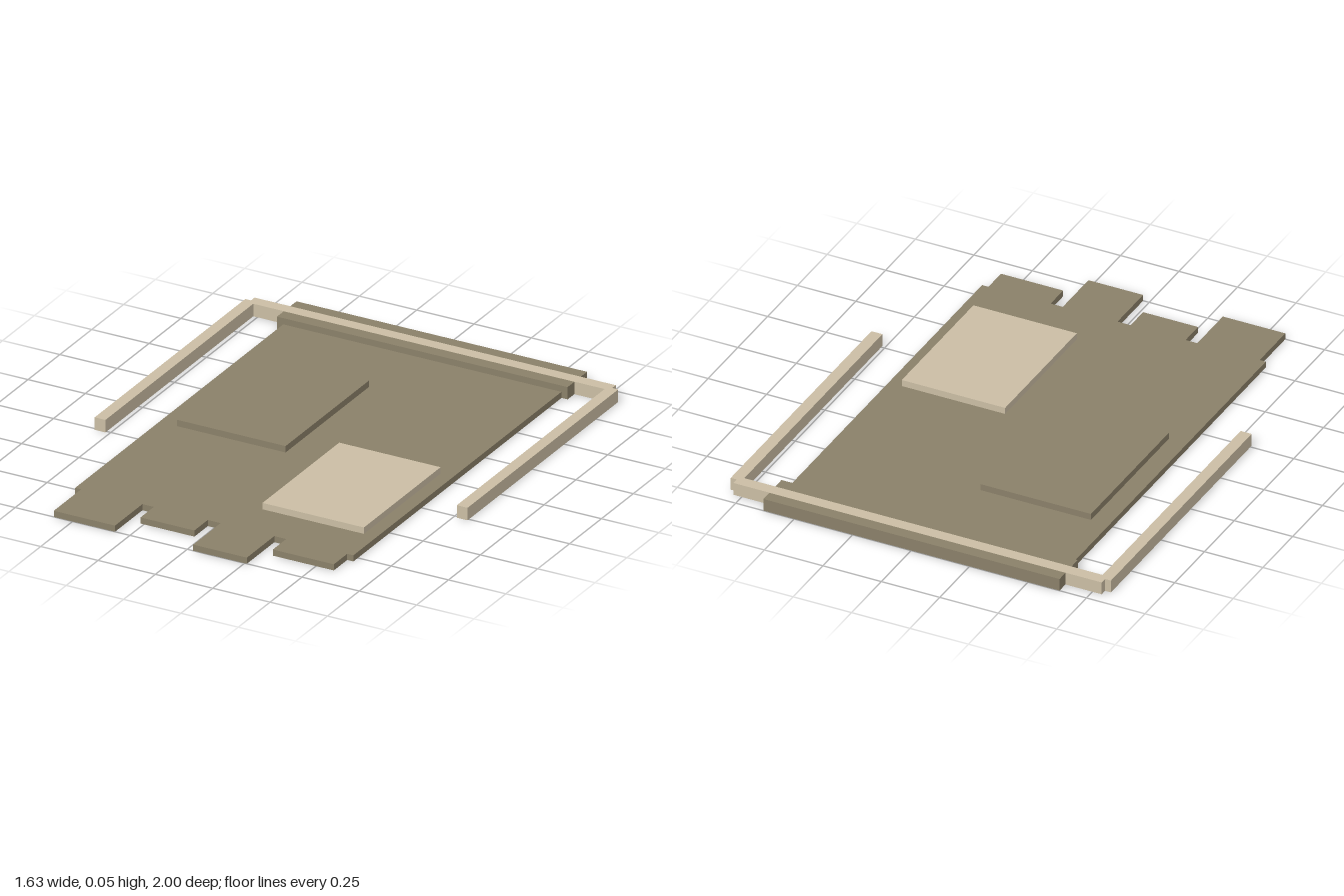
import * as THREE from 'three';

export function createModel() {
  const model = new THREE.Group();
  const cloth = new THREE.MeshStandardMaterial({ name: 'drabCloth', color: 0x8a8069 });
  const wood = new THREE.MeshStandardMaterial({ name: 'paleWood', color: 0xcabda4 });
  const SHEET = 0.026, TOP = 0.053;

  // Box given by its limits on each axis
  function block(name, material, [x0, x1], [y0, y1], [z0, z1]) {
    const mesh = new THREE.Mesh(new THREE.BoxGeometry(x1 - x0, y1 - y0, z1 - z0), material);
    mesh.position.set((x0 + x1) / 2, (y0 + y1) / 2, (z0 + z1) / 2);
    mesh.name = name;
    model.add(mesh);
  }

  // Cloth sheet with a ragged lower edge: [left, right, end] of each tab
  const tabs = [[-0.582, -0.315, 1], [-0.265, -0.03, 0.89], [0.026, 0.26, 1], [0.312, 0.578, 0.89]];
  const hem = 0.785;
  const outline = new THREE.Shape();
  outline.moveTo(0.605, -0.86);
  outline.lineTo(-0.608, -0.86);
  outline.lineTo(-0.608, hem);
  for (const [left, right, end] of tabs) {
    outline.lineTo(left, hem);
    outline.lineTo(left, end);
    outline.lineTo(right, end);
    outline.lineTo(right, hem);
  }
  outline.lineTo(0.605, hem);
  outline.closePath();
  const sheetGeometry = new THREE.ExtrudeGeometry(outline, { depth: SHEET, bevelEnabled: false });
  sheetGeometry.rotateX(Math.PI / 2).translate(0, SHEET, 0);
  const sheet = new THREE.Mesh(sheetGeometry, cloth);
  sheet.name = 'sheet';
  model.add(sheet);

  // Rolled top hem and the pole running through it, just proud of its faces
  block('topHem', cloth, [-0.635, 0.632], [0.0005, TOP - 0.0005], [-1, -0.847]);
  block('crossPole', wood, [-0.79, 0.785], [0, TOP], [-0.95, -0.9]);

  // Side arms
  block('rightArm', wood, [-0.815, -0.768], [0, TOP], [-0.922, 0.26]);
  block('leftArm', wood, [0.764, 0.811], [0, TOP], [-0.922, 0.26]);

  // Patches on the sheet
  block('darkPatch', cloth, [-0.53, -0.057], [SHEET, TOP], [-0.53, 0.126]);
  block('palePatch', wood, [0.107, 0.549], [SHEET, TOP], [0, 0.602]);

  return model;
}
